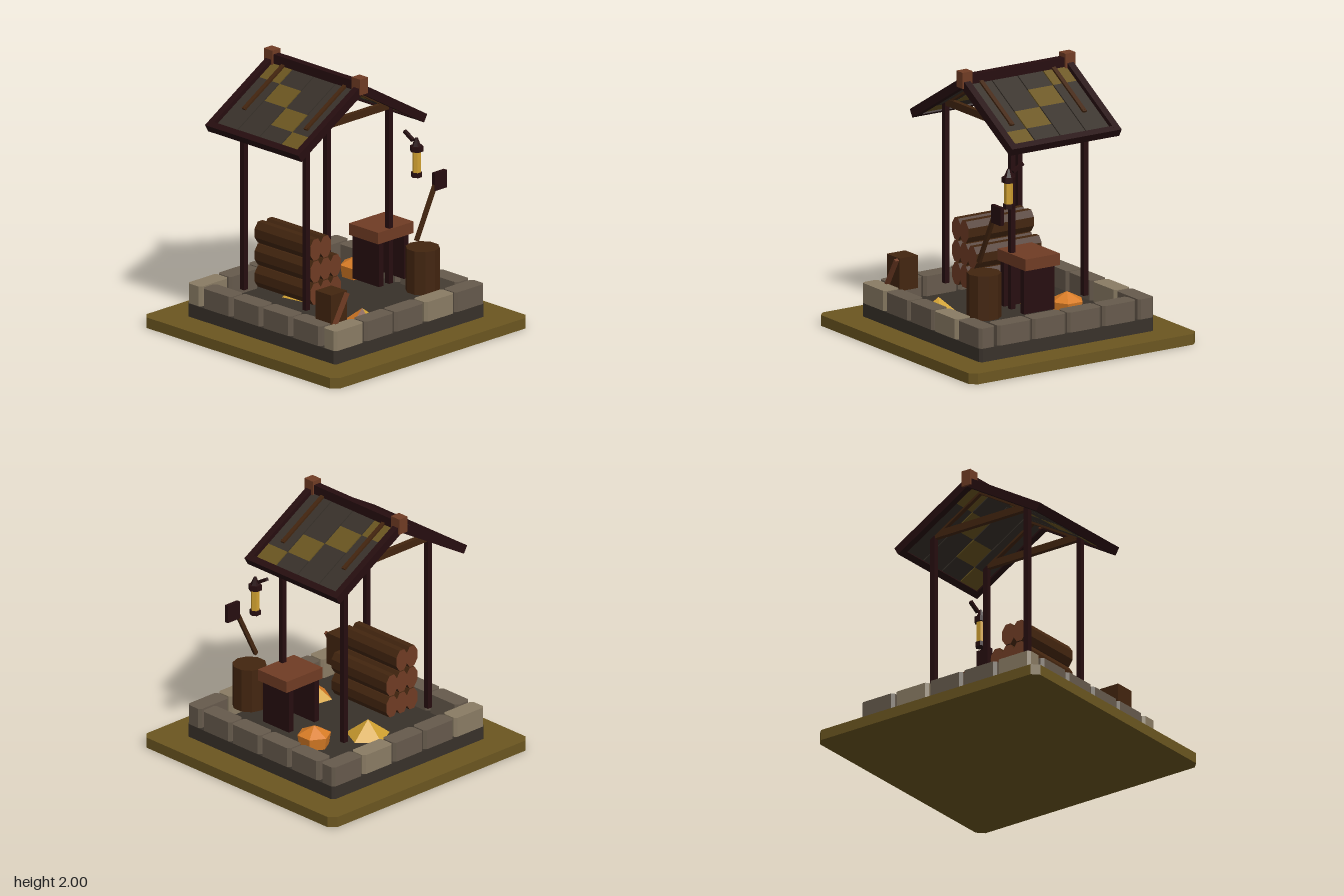
import * as THREE from 'three';

const mat = (name, color) => {
  const m = new THREE.MeshStandardMaterial({ color });
  m.name = name;
  return m;
};

export function createModel() {
  const olive = mat('olive', 0x6b5620);
  const darkStone = mat('dark stone', 0x38312a);
  const stone = mat('stone', 0x665a4c);
  const lightStone = mat('light stone', 0x8a7c64);
  const darkWood = mat('dark wood', 0x260d0f);
  const brown = mat('brown wood', 0x43250f);
  const redBrown = mat('red brown wood', 0x703c24);
  const gold = mat('gold', 0xd0a030);
  const orange = mat('orange', 0xd87c26);

  const model = new THREE.Group();
  model.name = 'woodShelter';

  const add = (name, geo, material, x, y, z, parent = model) => {
    const mesh = new THREE.Mesh(geo, material);
    mesh.name = name;
    mesh.position.set(x, y, z);
    parent.add(mesh);
    return mesh;
  };
  const box = (name, material, w, h, d, x, y, z, parent) =>
    add(name, new THREE.BoxGeometry(w, h, d), material, x, y, z, parent);
  const flat = (geo) => {
    const g = geo.toNonIndexed();
    g.computeVertexNormals();
    return g;
  };
  const prism = (rTop, rBottom, h, sides) => flat(new THREE.CylinderGeometry(rTop, rBottom, h, sides));
  // Block with its vertical corners cut off, standing on y
  const block = (name, material, w, h, d, c, x, y, z) => {
    const a = w / 2, b = d / 2;
    const pts = [[-a + c, -b], [a - c, -b], [a, -b + c], [a, b - c], [a - c, b], [-a + c, b], [-a, b - c], [-a, -b + c]];
    const shape = new THREE.Shape(pts.map(([u, v]) => new THREE.Vector2(u, v)));
    const geo = new THREE.ExtrudeGeometry(shape, { depth: h, bevelEnabled: false });
    geo.rotateX(-Math.PI / 2);
    return add(name, geo, material, x, y, z);
  };

  // Ground slab and foundation
  block('ground', olive, 1.98, 0.08, 1.98, 0.05, 0, 0, 0);
  block('foundation', darkStone, 1.52, 0.1, 1.52, 0.02, 0, 0.08, 0);

  // Stone border
  for (const s of [-1, 1]) {
    for (let i = 0; i < 5; i++) {
      block('borderStone', i % 3 === 0 ? lightStone : stone, 0.292, 0.15, 0.135, 0.02,
        (i - 2) * 0.305, 0.18, s * 0.6925);
    }
    for (let i = 0; i < 4; i++) {
      block('sideStone', stone, 0.135, 0.15, 0.292, 0.02, s * 0.6925, 0.18, (i - 1.5) * 0.305);
    }
  }

  // Posts and tie beams
  for (const z of [0.2, -0.435]) {
    for (const x of [-0.5, 0.34]) box('post', darkWood, 0.04, 1.35, 0.04, x, 0.975, z);
    box('tieBeam', brown, 0.84, 0.055, 0.035, -0.08, 1.658, z);
  }

  // Roof: two mirrored slopes around the ridge
  const roof = new THREE.Group();
  roof.name = 'roof';
  roof.position.set(-0.08, 1.915, 0);
  model.add(roof);
  for (const s of [-1, 1]) {
    const slope = new THREE.Group();
    slope.name = 'roofSlope';
    slope.rotation.z = -s * 0.533;
    roof.add(slope);
    for (let row = 0; row < 4; row++) {
      for (let k = 0; k < 4; k++) {
        box('roofTile', k === 3 - row ? olive : darkStone, 0.18, 0.02, 0.214,
          s * (k + 0.5) * 0.18, -0.01, 0.214 - row * 0.2225, slope);
      }
    }
    for (const z of [0.328, -0.573]) box('gableBoard', darkWood, 0.74, 0.065, 0.054, s * 0.37, 0, z, slope);
    for (const z of [0.197, -0.435]) box('rafter', brown, 0.49, 0.05, 0.033, s * 0.245, -0.01, z, slope);
    box('eaveBeam', darkWood, 0.05, 0.064, 0.95, s * 0.715, 0, -0.122, slope);
  }
  box('ridgeBeam', darkWood, 0.056, 0.07, 0.95, 0, 0.02, -0.122, roof);
  for (const z of [0.325, -0.573]) box('ridgeBlock', redBrown, 0.08, 0.12, 0.088, 0, 0.025, z, roof);

  // Stacked logs, eight-sided and slightly tall
  const logGeo = new THREE.CylinderGeometry(0.06, 0.06, 0.57, 8);
  logGeo.rotateY(Math.PI / 8);
  const logFlat = flat(logGeo);
  logGeo.groups.forEach((g, i) => {
    if (i >= logFlat.groups.length) logFlat.addGroup(g.start, g.count, g.materialIndex);
  });
  [3, 3, 2].forEach((count, row) => {
    for (let i = 0; i < count; i++) {
      const log = add('log', logFlat, [brown, redBrown, redBrown], -0.388 + i * 0.1, 0.39 + row * 0.168, -0.1);
      log.rotation.x = Math.PI / 2;
      log.scale.z = 1.45;
    }
  });

  // Workbench
  box('benchTop', redBrown, 0.36, 0.087, 0.3, 0.38, 0.677, 0.08);
  for (const x of [0.243, 0.498]) box('benchLeg', darkWood, 0.046, 0.335, 0.268, x, 0.467, 0.083);

  // Chopping block and axe
  add('choppingBlock', prism(0.125, 0.125, 0.33, 10), brown, 0.4, 0.465, 0.483);
  const handle = box('axeHandle', brown, 0.03, 0.47, 0.024, 0.44, 0.9, 0.483);
  handle.rotation.z = -0.46;
  box('axeHead', darkWood, 0.12, 0.135, 0.03, 0.57, 1.097, 0.483);

  // Crate with a diagonal brace
  box('crate', brown, 0.16, 0.245, 0.16, -0.573, 0.4225, 0.53);
  const brace = box('crateBrace', redBrown, 0.024, 0.265, 0.03, -0.573, 0.42, 0.625);
  brace.rotation.z = -0.53;

  // Hanging lantern
  const lantern = new THREE.Group();
  lantern.name = 'lantern';
  lantern.position.set(0.49, 0, 0.33);
  model.add(lantern);
  const lanternPart = (name, m, rTop, rBottom, y0, y1) => {
    add(name, prism(rTop, rBottom, y1 - y0, 6), m, 0, (y0 + y1) / 2, 0, lantern).rotation.y = Math.PI / 6;
  };
  lanternPart('lanternBase', darkWood, 0.042, 0.042, 1.105, 1.14);
  lanternPart('lanternGlass', gold, 0.032, 0.032, 1.14, 1.3);
  lanternPart('lanternRim', darkWood, 0.05, 0.05, 1.3, 1.34);
  lanternPart('lanternCap', darkWood, 0.01, 0.035, 1.34, 1.4);
  const arm = box('lanternArm', darkWood, 0.024, 0.024, 0.1, 0, 1.397, -0.08, lantern);
  arm.rotation.x = 0.53;

  // Small five-sided heaps, one material per face
  const heap = (name, x, z, r, turn, faces) => {
    const geo = flat(new THREE.ConeGeometry(r, 0.125, 5, 1, true));
    geo.clearGroups();
    for (let i = 0; i < 5; i++) geo.addGroup(i * 3, 3, i);
    add(name, geo, faces, x, 0.2425, z).rotation.y = turn;
  };
  heap('frontHeap', -0.2, 0.47, 0.165, -0.17, [gold, gold, gold, orange, redBrown]);
  heap('rearHeap', -0.04, -0.29, 0.165, 0.5, [gold, gold, gold, gold, gold]);

  // Faceted pumpkin-like lump behind the bench
  const profile = [[0, 0.2], [0.11, 0.23], [0.125, 0.32], [0, 0.385]].map(([u, v]) => new THREE.Vector2(u, v));
  add('orangeLump', flat(new THREE.LatheGeometry(profile, 6)), orange, 0.43, 0, -0.22);

  return model;
}
